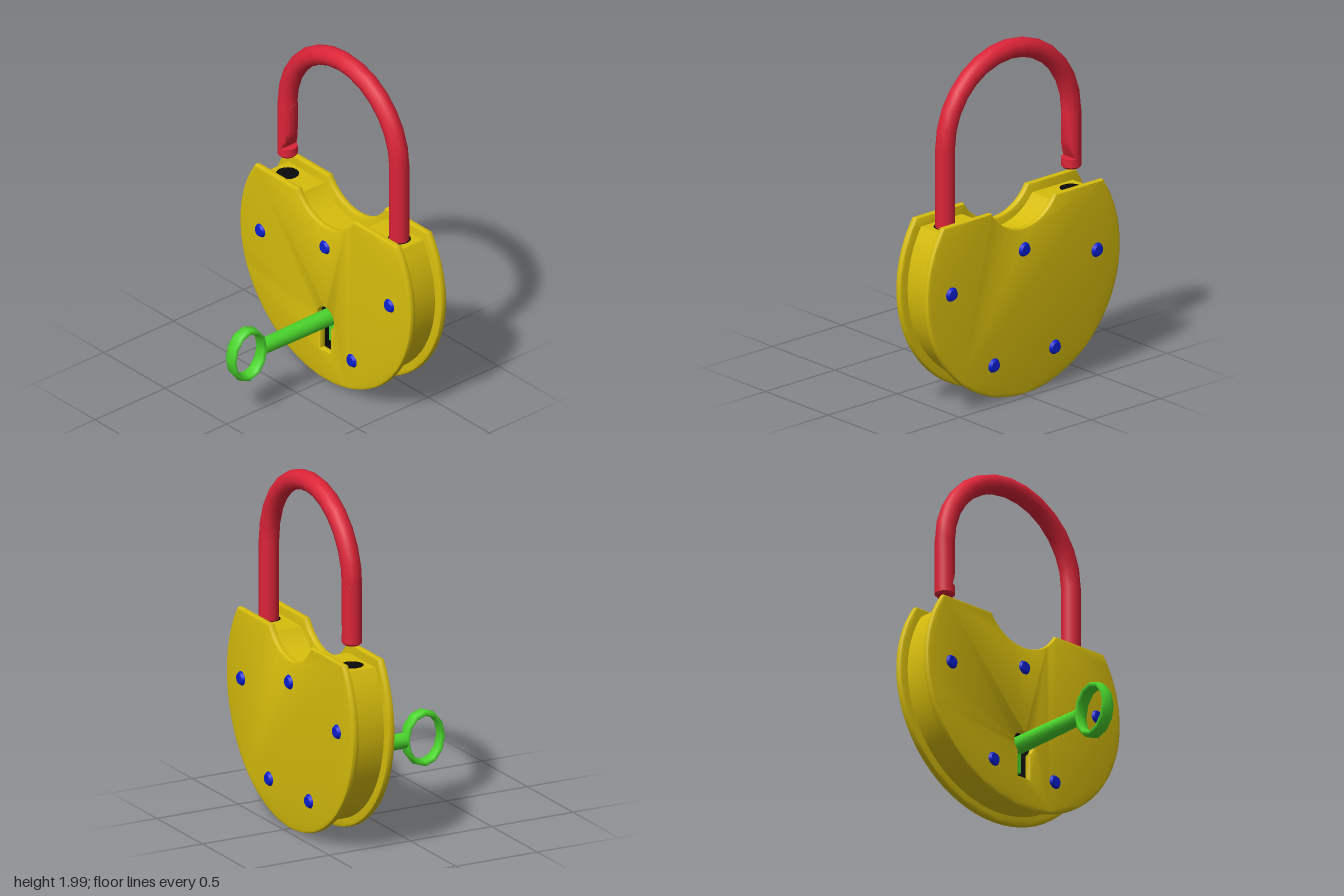
import * as THREE from 'three';
import { toCreasedNormals } from 'three/addons/utils/BufferGeometryUtils.js';

const mat = (color, side = THREE.FrontSide) => new THREE.MeshStandardMaterial({ color, side });
const MID_Z = -0.335; // middle of the lock body's thickness

// Round outline with a flat top and a scooped notch
function bodyShape(radius, top, notchRadius) {
  const cy = 0.7, notchY = 1.218;
  const a = Math.asin((top - cy) / radius);
  const b = Math.asin((notchY - top) / notchRadius);
  const s = new THREE.Shape();
  s.absarc(0, cy, radius, a, -Math.PI - a, true);
  s.absarc(0, notchY, notchRadius, Math.PI + b, 2 * Math.PI - b, false);
  s.closePath();
  return s;
}

// Round hole with a straight slot below it
function keyholeShape(grow = 0) {
  const r = 0.065 + grow, w = 0.04 + grow, cy = 0.385;
  const a = Math.acos(w / r);
  const s = new THREE.Shape();
  s.moveTo(-w, 0.185 - grow);
  s.lineTo(w, 0.185 - grow);
  s.absarc(0, cy, r, -a, Math.PI + a, false);
  s.closePath();
  return s;
}

export function createModel() {
  const model = new THREE.Group();
  const yellow = mat(0xd6bc0c), red = mat(0xdc2438), green = mat(0x4ad52c);
  const blue = mat(0x0a1ed0), black = mat(0x0a0a0a);

  const add = (name, geometry, material, x = 0, y = 0, z = 0, parent = model) => {
    const mesh = new THREE.Mesh(geometry, material);
    mesh.name = name;
    mesh.position.set(x, y, z);
    parent.add(mesh);
    return mesh;
  };

  // Face plates with rounded rims; the front one is pierced by the keyhole
  const plate = (pierced) => {
    const shape = bodyShape(0.697, 1.09, 0.263);
    if (pierced) shape.holes.push(keyholeShape());
    const bevel = 0.014;
    const g = new THREE.ExtrudeGeometry(shape, {
      depth: 0.042 - 2 * bevel, curveSegments: 24, bevelEnabled: true,
      bevelThickness: bevel, bevelSize: bevel, bevelOffset: -bevel, bevelSegments: 2,
    });
    g.translate(0, 0.003, bevel);
    return toCreasedNormals(g, 0.6);
  };
  add('frontPlate', plate(true), yellow, 0, 0, -0.245);
  add('backPlate', plate(false), yellow, 0, 0, -0.465);

  // Narrower core between the plates, with a dark lock chamber
  const core = bodyShape(0.645, 1.04, 0.31);
  core.holes.push(keyholeShape(0.012));
  add('core', toCreasedNormals(new THREE.ExtrudeGeometry(core, {
    depth: 0.19, curveSegments: 24, bevelEnabled: false,
  }), 0.5), yellow, 0, 0, -0.43);
  add('keyholeChamber', new THREE.ExtrudeGeometry(keyholeShape(0.01), {
    depth: 0.18, curveSegments: 16, bevelEnabled: false,
  }), mat(0x0a0a0a, THREE.BackSide), 0, 0, -0.424);

  // Rivets on both faces
  const rivet = new THREE.CylinderGeometry(0.029, 0.044, 0.022, 16);
  const spots = [[0, 0.835], [-0.525, 0.705], [0.525, 0.705], [-0.22, 0.225], [0.22, 0.225]];
  for (const [x, y] of spots) {
    add('frontRivet', rivet, blue, x, y, -0.199).rotation.x = Math.PI / 2;
    add('backRivet', rivet, blue, x, y, -0.471).rotation.x = -Math.PI / 2;
  }

  // Shackle sockets in the top of the core
  for (const x of [-0.455, 0.455]) {
    const socket = add('shackleSocket', new THREE.CircleGeometry(0.063, 16), black, x, 1.042, MID_Z);
    socket.rotation.x = -Math.PI / 2;
  }

  // Shackle: arch, long leg, and a free leg ending in a latch notch
  const shackle = new THREE.Group();
  shackle.name = 'shackle';
  shackle.position.z = MID_Z;
  model.add(shackle);
  const R = 0.455, r = 0.055, springY = 1.49;
  add('shackleArch', new THREE.TorusGeometry(R, r, 12, 14, Math.PI), red, 0, springY, 0, shackle);
  add('shackleLongLeg', new THREE.CylinderGeometry(r, r, springY - 1.0, 12), red,
    R, (springY + 1.0) / 2, 0, shackle);

  const profile = [[0, 1.16], [0.043, 1.16], [r, 1.172], [r, 1.219], [r, 1.22], [r, 1.27], [r, 1.32], [r, springY]];
  const leg = new THREE.LatheGeometry(profile.map(([x, y]) => new THREE.Vector2(x, y)), 24);
  const p = leg.attributes.position;
  for (let i = 0; i < p.count; i++) {
    const y = p.getY(i);
    // Sloping cut on the inner side, ending in a flat ledge
    if (y > 1.2195 && y < 1.4) p.setX(i, Math.min(p.getX(i), 0.012 + (y - 1.22) * 0.45));
  }
  add('shackleLatchLeg', toCreasedNormals(leg, 0.6), red, -R, 0, 0, shackle);

  // Key: oval bow, round shaft, and a bit inside the lock
  const key = new THREE.Group();
  key.name = 'key';
  key.position.y = 0.39;
  model.add(key);
  const bow = add('keyBow', new THREE.TorusGeometry(0.142, 0.019, 8, 12), green, 0, 0, 0.357, key);
  bow.scale.set(0.77, 1, 2.25);
  bow.rotation.y = Math.PI / 2;
  add('keyShaft', new THREE.CylinderGeometry(0.044, 0.05, 0.61, 12), green, 0, 0, -0.06, key)
    .rotation.x = Math.PI / 2;
  add('keyBit', new THREE.BoxGeometry(0.04, 0.15, 0.1), green, 0, -0.085, -0.3, key);

  return model;
}
